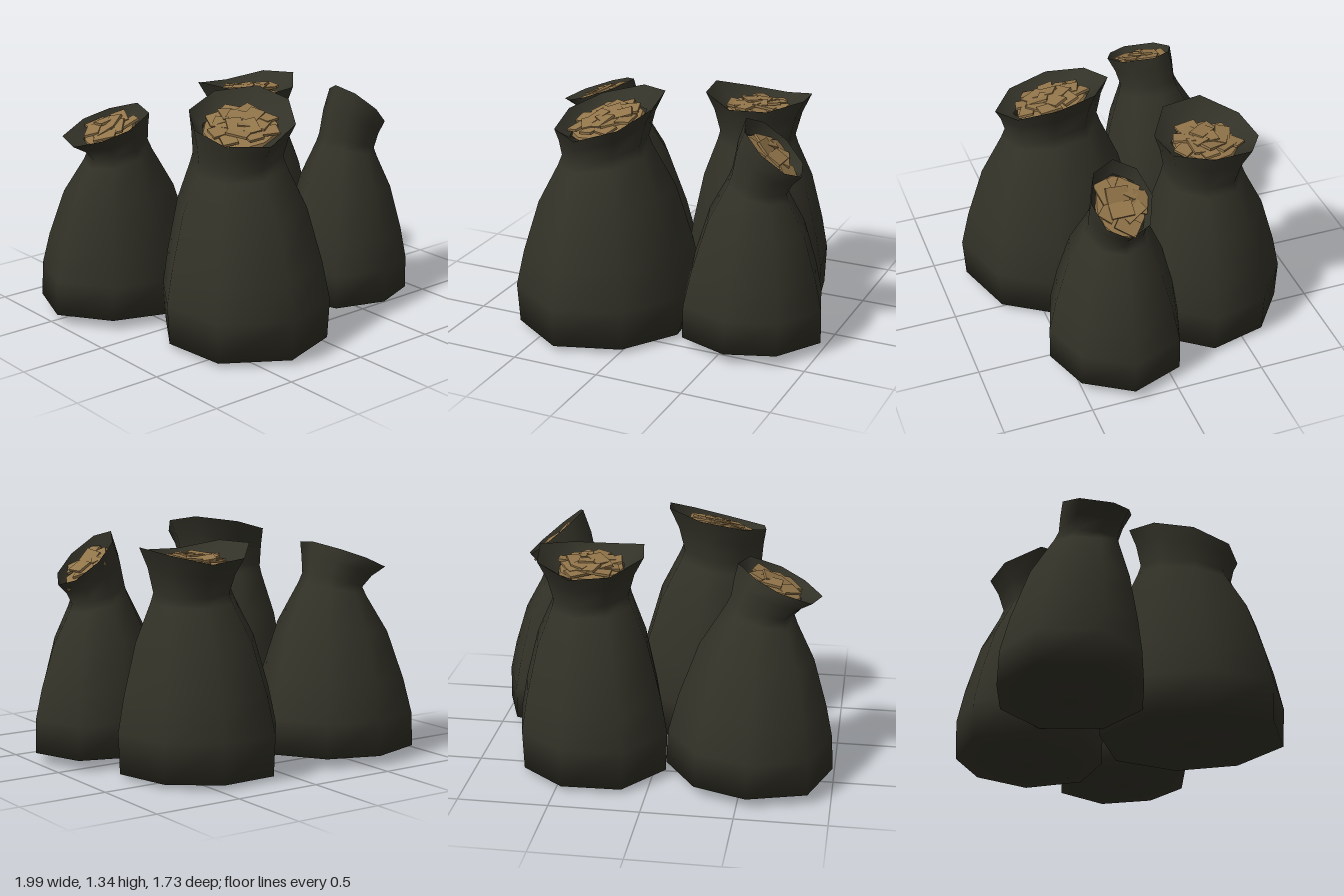
import * as THREE from 'three';

const cloth = new THREE.MeshStandardMaterial({ color: 0x333228, side: THREE.DoubleSide });
cloth.name = 'dark olive cloth';
const gold = new THREE.MeshStandardMaterial({ color: 0x92754a });
gold.name = 'dull gold';

// Outlines are ovals: centre c, radius r, ovalness e along an axis (degrees),
// height slopes sx and sz, and a wave that lifts two opposite sides.
const sacks = [
  {
    name: 'frontRightSack', phase: -11, foot: 0.025, footScale: 0.975, bars: 17,
    belly: { c: [-0.25, 0.25, 0.33], r: 0.507, e: 0.065, axis: 55 },
    neck: { c: [-0.28, 1.04, 0.3], r: 0.25, e: 0.06, axis: 90, sx: 0.16, sz: -0.08 },
    rim: { c: [-0.25, 1.245, 0.3], r: 0.305, e: 0.05, axis: 70, sx: 0.22, sz: -0.22, wave: 0.012 },
  },
  {
    name: 'backLeftSack', phase: -15, foot: 0.025, footScale: 0.98, bars: 17,
    belly: { c: [0.36, 0.25, -0.42], r: 0.438, e: 0.06, axis: 140 },
    neck: { c: [0.365, 1.0, -0.37], r: 0.22, sx: -0.05, sz: 0.08 },
    rim: { c: [0.36, 1.215, -0.39], r: 0.3, e: 0.05, sx: -0.02, sz: 0.05, wave: 0.035 },
  },
  {
    name: 'backRightSack', phase: 3, foot: 0.055, footScale: 1.02, bars: 9,
    belly: { c: [-0.53, 0.25, -0.47], r: 0.427, e: 0.09, axis: 160 },
    neck: { c: [-0.58, 0.99, -0.4], r: 0.172, sx: 0.3 },
    rim: { c: [-0.67, 1.13, -0.38], r: 0.215, e: 0.15, axis: 150, sx: 0.38 },
  },
  {
    name: 'frontLeftSack', phase: -3, foot: 0.06, footScale: 1.01, bars: 8,
    belly: { c: [0.59, 0.25, 0.23], r: 0.39, e: 0.07, axis: 20 },
    neck: { c: [0.61, 0.94, 0.22], r: 0.16, sx: -0.35 },
    rim: { c: [0.69, 1.14, 0.22], r: 0.166, e: 0.02, axis: 45, sx: -0.85 },
  },
];

let seed = 7;
function rand() {
  seed = (seed * 16807) % 2147483647;
  return seed / 2147483647;
}

// Eight points around an oval, anticlockwise seen from above
function oval({ c, r, e = 0, axis = 0, sx = 0, sz = 0, wave = 0 }, phase) {
  return Array.from({ length: 8 }, (_, i) => {
    const t = THREE.MathUtils.degToRad(phase + i * 45);
    const reach = r * (1 + e * Math.cos(2 * (t - THREE.MathUtils.degToRad(axis))));
    const dx = Math.cos(t) * reach, dz = -Math.sin(t) * reach;
    return [c[0] + dx, c[1] + dx * sx + dz * sz + wave * Math.cos(2 * t), c[2] + dz];
  });
}

// Skin over closed rings; optionally closed at the first ring by a centre point
function skin(rings, floor) {
  const n = rings[0].length, pos = rings.flat(2), idx = [];
  for (let r = 0; r < rings.length - 1; r++) {
    for (let i = 0; i < n; i++) {
      const j = (i + 1) % n, a = r * n, b = a + n;
      idx.push(a + i, a + j, b + j, a + i, b + j, b + i);
    }
  }
  if (floor) {
    pos.push(...floor);
    for (let i = 0; i < n; i++) idx.push(rings.length * n, (i + 1) % n, i);
  }
  const g = new THREE.BufferGeometry();
  g.setAttribute('position', new THREE.Float32BufferAttribute(pos, 3));
  g.setIndex(idx);
  g.computeVertexNormals();
  return g;
}

// Blend two points, with separate amounts for width and height
const mix = (p, q, w, h) => [p[0] + (q[0] - p[0]) * w, p[1] + (q[1] - p[1]) * h, p[2] + (q[2] - p[2]) * w];

function addMesh(group, name, geometry, material) {
  const m = new THREE.Mesh(geometry, material);
  m.name = name;
  group.add(m);
  return m;
}

// Heap of flat bars, tilted with the mouth
function makeHeap({ c, r, sx = 0, sz = 0 }, bars) {
  const heap = new THREE.Group();
  heap.name = 'goldHeap';
  heap.position.set(...c);
  heap.quaternion.setFromUnitVectors(new THREE.Vector3(0, 1, 0), new THREE.Vector3(-sx, 1, -sz).normalize());
  const rx = r * Math.hypot(1, sx);
  const bed = addMesh(heap, 'heapBed', new THREE.CylinderGeometry(1, 1.05, 0.02, 12), gold);
  bed.scale.set(rx, 1, r);
  for (let i = 0; i < bars; i++) {
    const k = Math.sqrt((i + 0.4) / bars) * 0.82, t = i * 2.4 + 0.5;
    const bar = addMesh(heap, 'goldBar', new THREE.BoxGeometry(0.125, 0.014, 0.085), gold);
    bar.position.set(Math.cos(t) * k * rx, 0.018 + 0.03 * (1 - k) + rand() * 0.012, Math.sin(t) * k * r);
    bar.rotation.set((rand() - 0.5) * 0.35, rand() * Math.PI, (rand() - 0.5) * 0.35, 'YXZ');
  }
  return heap;
}

function makeSack(s) {
  const group = new THREE.Group();
  group.name = s.name;
  const [cx, , cz] = s.belly.c;

  // Body: foot, belly, shoulders, pinched neck, flared rim
  const belly = oval(s.belly, s.phase), neck = oval(s.neck, s.phase), rim = oval(s.rim, s.phase);
  const foot = belly.map((p) => mix([cx, s.foot, cz], p, s.footScale, 0));
  const between = (w, h) => belly.map((p, i) => mix(p, neck[i], w, h));
  const flare = neck.map((p, i) => mix(p, rim[i], 0.4, 0.55));
  const rings = [foot, belly, between(0.17, 0.27), between(0.5, 0.65), between(0.92, 0.93), neck, flare, rim];
  addMesh(group, 'sackBody', skin(rings, [cx, s.foot - 0.025, cz]), cloth);

  // Lining from the rim down to the contents
  const fill = { ...s.rim, c: mix(s.rim.c, s.neck.c, 0.35, 0.35), r: s.neck.r * 0.8, e: 0, wave: 0 };
  const well = oval({ ...fill, r: fill.r * 1.08 }, s.phase);
  const slope = rim.map((p, i) => mix(p, well[i], 0.55, 0.7));
  addMesh(group, 'mouthLining', skin([rim, slope, well]), cloth);

  group.add(makeHeap(fill, s.bars));
  return group;
}

export function createModel() {
  const model = new THREE.Group();
  model.name = 'goldSacks';
  for (const s of sacks) model.add(makeSack(s));
  return model;
}
